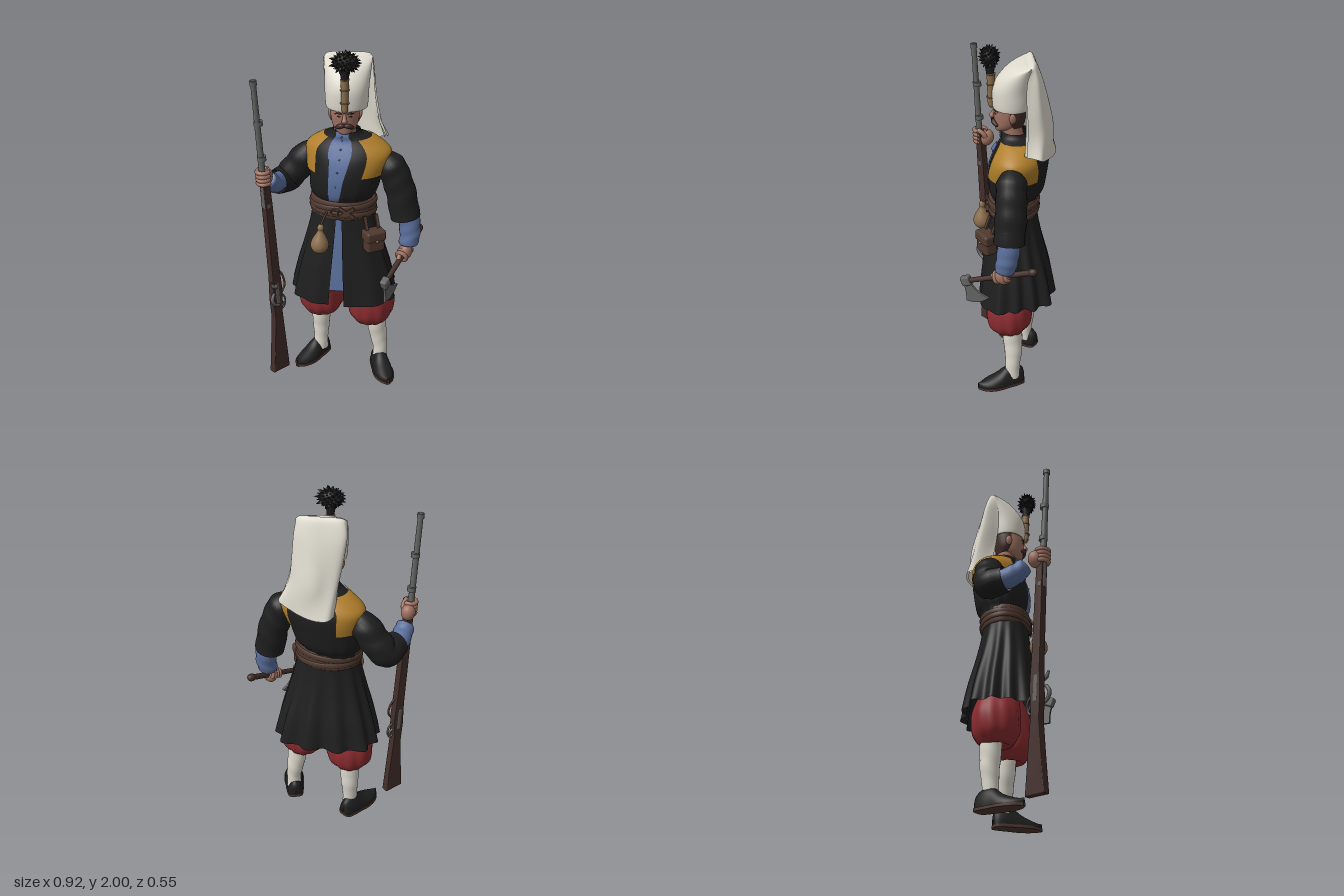
import * as THREE from 'three';
import { mergeVertices, mergeGeometries } from 'three/addons/utils/BufferGeometryUtils.js';
import { RoundedBoxGeometry } from 'three/addons/geometries/RoundedBoxGeometry.js';

const mat = (name, color) => new THREE.MeshStandardMaterial({ name, color, side: THREE.DoubleSide });
const M = {
  coat: mat('black cloth', 0x1e1e1e), white: mat('cream felt', 0xdedace), red: mat('red cloth', 0x8c2c30),
  gold: mat('ochre cloth', 0xb07f2b), blue: mat('blue cloth', 0x5b6f9c), skin: mat('skin', 0x9f7261),
  leather: mat('leather', 0x503930), metal: mat('steel', 0x636362), tan: mat('tan', 0x8a6e4c), wood: mat('dark wood', 0x432e29),
};
const V = (x, y, z) => new THREE.Vector3(x, y, z);
const { PI, sin, cos } = Math;

function add(parent, name, geo, m, p = [0, 0, 0], r = [0, 0, 0], s = [1, 1, 1]) {
  const mesh = new THREE.Mesh(geo, m);
  mesh.name = name;
  mesh.position.set(...p); mesh.rotation.set(...r); mesh.scale.set(...s);
  parent.add(mesh);
}
// Smooth blend through rows of numbers, v in 0..1
function mix(rows, v) {
  const n = rows.length - 1, s = v * n, i = Math.min(Math.floor(s), n - 1), t = s - i;
  const R = k => rows[Math.max(0, Math.min(n, k))];
  return rows[i].map((_, j) => {
    const a = R(i - 1)[j], b = R(i)[j], c = R(i + 1)[j], d = R(i + 2)[j];
    return b + 0.5 * t * (c - a + t * (2 * a - 5 * b + 4 * c - d + t * (3 * (b - c) + d - a)));
  });
}
// Grid surface from f(u, v) -> [x, y, z]
function surf(f, nu, nv) {
  const pos = [], idx = [], w = nu + 1;
  for (let j = 0; j <= nv; j++) for (let i = 0; i <= nu; i++) pos.push(...f(i / nu, j / nv));
  for (let j = 0; j < nv; j++) for (let i = 0; i < nu; i++) {
    const a = j * w + i;
    idx.push(a, a + w, a + 1, a + 1, a + w, a + w + 1);
  }
  let g = new THREE.BufferGeometry();
  g.setAttribute('position', new THREE.Float32BufferAttribute(pos, 3));
  g.setIndex(idx);
  g = mergeVertices(g, 1e-5);
  g.computeVertexNormals();
  return g;
}
// Upright loft through rows [y, cx, cz, rx, rz]; angle span and hem drop may vary
function loft(rows, { a = () => [0, 2 * PI], v0 = 0, v1 = 1, grow = 0, fold = () => 0, drop = () => 0, nu = 48, nv = 28 } = {}) {
  return surf((u, w) => {
    const v = v0 + (v1 - v0) * w, [y, cx, cz, rx, rz] = mix(rows, v), [s, e] = a(v);
    const t = s + (e - s) * u, k = 1 + fold(t, v);
    return [cx + (rx * k + grow) * cos(t), y - drop(t, v), cz + (rz * k + grow) * sin(t)];
  }, nu, nv);
}
// Round limb through [x, y, z, radius]
function limb(pts, wrinkle = 0, nv = 24, nu = 20) {
  const c = new THREE.CatmullRomCurve3(pts.map(p => V(p[0], p[1], p[2])));
  const fr = c.computeFrenetFrames(nv);
  return surf((u, v) => {
    const t = 2 * PI * u, k = Math.round(v * nv);
    const r = Math.max(mix(pts, v)[3], 0.0005) * (1 + wrinkle * sin(v * 26 + 2 * sin(t)));
    return c.getPoint(v).addScaledVector(fr.normals[k], r * cos(t)).addScaledVector(fr.binormals[k], r * sin(t)).toArray();
  }, nu, nv);
}
const ball = (r = 1) => new THREE.SphereGeometry(r, 24, 16);

function legs(g) {
  for (const [side, x, z, bx] of [['right', -0.128, -0.085, -0.137], ['left', 0.165, 0.008, 0.228]]) {
    add(g, side + 'Breeches', loft([[0.78, x * 0.6, -0.035, 0.07, 0.06], [0.64, x * 0.85, z * 0.8, 0.1, 0.1], [0.52, x, z, 0.13, 0.128],
      [0.42, x, z, 0.13, 0.126], [0.365, x, z, 0.1, 0.098], [0.345, x, z, 0.07, 0.07], [0.37, x, z, 0.04, 0.04]],
      { fold: (t, v) => 0.045 * v * sin(11 * t + 2 * sin(3 * v)) + 0.025 * sin(5 * t + 5 * v), nu: 72 }), M.red);
    const top = x + (bx - x) * 0.6, sz = side === 'left' ? -0.01 : -0.112;
    add(g, side + 'Stocking', limb([[top, 0.42, sz, 0.058], [top, 0.32, sz, 0.057], [(top + bx) / 2, 0.22, sz - 0.005, 0.051],
      [bx, 0.13, sz, 0.043], [bx, 0.05, sz, 0.044]], 0.015), M.white);
  }
  const rows = [[-0.11, 0.004, 0.04], [-0.1, 0.036, 0.08], [-0.05, 0.048, 0.108], [0, 0.052, 0.1], [0.045, 0.057, 0.068],
    [0.095, 0.053, 0.046], [0.14, 0.034, 0.032], [0.172, 0.004, 0.03]];
  const edge = s => Array.from({ length: 25 }, (_, i) => { const [z, w] = mix(rows, i / 24); return new THREE.Vector2(s * (w + 0.005), z); });
  const sole = new THREE.ExtrudeGeometry(new THREE.Shape([...edge(1), ...edge(-1).reverse()]), { depth: 0.016, bevelEnabled: false });
  sole.rotateX(PI / 2).translate(0, 0.016, 0);
  for (const [side, x, z, ry] of [['right', -0.172, -0.092, -0.65], ['left', 0.235, 0.03, 0.27]]) {
    const shoe = new THREE.Group();
    shoe.name = side + 'Shoe'; shoe.position.set(x, 0, z); shoe.rotation.y = ry;
    add(shoe, 'shoeUpper', surf((u, v) => { const [d, w, h] = mix(rows, v); return [w * cos(PI * u), 0.012 + h * sin(PI * u), d]; }, 20, 24), M.coat);
    add(shoe, 'sole', sole, M.leather);
    g.add(shoe);
  }
}

function coat(g) {
  // Pleated skirt, open at the front, squarer and fuller over the left leg
  const rows = [[0.555, 0.005, -0.05, 0.305, 0.215], [0.7, 0.005, -0.045, 0.272, 0.193], [0.86, 0.005, -0.035, 0.226, 0.162],
    [1.0, 0.005, -0.03, 0.188, 0.138], [1.1, 0.005, -0.028, 0.172, 0.126]];
  const mid = PI / 2 + 0.12, gap = v => 0.15 - 0.07 * v;
  const shape = (t, v) => (1 - v) * (0.12 * Math.max(0, cos(t - 1)) ** 4 - 0.06 * cos(4 * t));
  add(g, 'coatSkirt', loft(rows, { a: v => [mid + gap(v), mid + 2 * PI - gap(v)], nu: 160,
    drop: (t, v) => 0.03 * Math.max(0, 1 - 3 * v) * Math.max(0, sin(t)),
    fold: (t, v) => shape(t, v) + (1 - v) * (0.05 - 0.03 * sin(t)) * sin(13 * t + 0.8 * sin(2 * t)) }), M.coat);
  add(g, 'robeSkirt', loft(rows, { a: () => [mid - 0.3, mid + 0.3], v0: 0.12, grow: -0.012, nu: 12, fold: shape }), M.blue);

  // Upper body, turned a little
  const t = new THREE.Group();
  t.name = 'torso'; t.position.set(0.03, 0, -0.06); t.rotation.y = -0.3;
  g.add(t);
  const body = [[1.07, -0.03, 0.028, 0.16, 0.115], [1.135, -0.028, 0.028, 0.166, 0.12], [1.19, -0.02, 0.022, 0.192, 0.146], [1.28, -0.01, 0.015, 0.207, 0.157],
    [1.37, 0, 0, 0.23, 0.152], [1.43, 0, -0.005, 0.225, 0.132], [1.485, 0, 0, 0.15, 0.1], [1.51, 0, 0.022, 0.088, 0.08], [1.535, 0, 0.026, 0.074, 0.07]];
  const fold = (a, v) => 0.025 * Math.max(0, 1 - 2.2 * v) * sin(15 * a);
  add(t, 'coatBody', loft(body, { fold, nu: 96 }), M.coat);
  for (const [n, c] of [['left', 0], ['right', PI]])
    add(t, n + 'ShoulderPatch', loft(body, { a: () => [c - 0.95, c + 0.95], v0: 0.4, v1: 0.8, grow: 0.01, nu: 24, nv: 16 }), M.gold);
  add(t, 'robeFront', loft(body, { a: v => [PI / 2 - 0.14 - 0.34 * v * v, PI / 2 + 0.17 + 0.34 * v * v], grow: 0.007, nu: 14 }), M.blue);
  for (let i = 0; i < 6; i++) {
    const [y, cx, cz, , rz] = mix(body, 0.33 + i * 0.11);
    add(t, 'robeButton', ball(0.005), M.blue, [cx, y, cz + rz + 0.008]);
  }
  // Sleeves and cuffs
  add(g, 'leftSleeve', limb([[0.21, 1.385, -0.015, 0.045], [0.255, 1.35, 0, 0.077], [0.293, 1.27, 0.005, 0.082], [0.325, 1.17, 0.01, 0.084], [0.35, 1.035, 0.02, 0.084]], 0.03), M.coat);
  add(g, 'leftCuff', limb([[0.355, 1.12, 0.02, 0.06], [0.375, 1, 0.025, 0.06], [0.38, 0.93, 0.035, 0.058], [0.37, 0.875, 0.045, 0.05], [0.366, 0.87, 0.046, 0.0]], 0.03), M.blue);
  add(g, 'rightSleeve', limb([[-0.14, 1.385, -0.115, 0.045], [-0.193, 1.345, -0.13, 0.077], [-0.258, 1.26, -0.142, 0.084], [-0.322, 1.188, -0.138, 0.082], [-0.372, 1.198, -0.055, 0.07]], 0.03), M.coat);
  add(g, 'rightCuff', limb([[-0.34, 1.185, -0.12, 0.05], [-0.38, 1.2, -0.04, 0.058], [-0.395, 1.225, 0.01, 0.054], [-0.406, 1.26, 0.045, 0.043], [-0.408, 1.265, 0.05, 0]], 0.03), M.blue);
}

function beltAndGear(g) {
  const b = new THREE.Group();
  b.name = 'belt'; b.position.set(0.004, 1.1, -0.028); b.rotation.y = -0.15;
  g.add(b);
  const band = (h, r) => loft([[-h, 0, 0, 0.165, 0.12], [-h, 0, 0, 0.181 + r, 0.136 + r], [0, 0, 0, 0.186 + r, 0.141 + r],
    [h, 0, 0, 0.181 + r, 0.136 + r], [h, 0, 0, 0.165, 0.12]], { nu: 64, nv: 16 });
  add(b, 'sash', band(0.05, 0), M.leather);
  add(b, 'upperBelt', band(0.016, 0.005), M.leather, [0, 0.02, 0], [0.02, 0, 0.06]);
  add(b, 'lowerBelt', band(0.016, 0.005), M.leather, [0, -0.02, 0], [-0.02, 0, -0.05]);
  for (const s of [-1, 1]) add(b, 'crossStrap', new THREE.BoxGeometry(0.1, 0.018, 0.01), M.leather, [0.045, 0, 0.143], [0, 0.1, s * 0.6]);
  add(b, 'buckle', new THREE.TorusGeometry(0.02, 0.005, 8, 20), M.leather, [-0.02, 0, 0.146]);
  // Powder flask
  const prof = [[0, 0], [0.03, 0.004], [0.05, 0.035], [0.046, 0.07], [0.026, 0.11], [0.015, 0.135], [0.019, 0.15], [0.012, 0.168], [0, 0.17]];
  const flask = new THREE.SplineCurve(prof.map(p => new THREE.Vector2(...p))).getPoints(30).map(p => p.set(Math.max(0, p.x), p.y));
  add(g, 'powderFlask', new THREE.LatheGeometry(flask, 24), M.tan, [-0.122, 0.868, 0.143], [0, 0, -0.06]);
  add(g, 'flaskCord', limb([[-0.118, 1.02, 0.145, 0.006], [-0.1, 1.06, 0.125, 0.006], [-0.08, 1.1, 0.108, 0.006]], 0, 8, 8), M.leather);
  // Belt pouch
  const p = new THREE.Group();
  p.name = 'pouch'; p.position.set(0.178, 0.94, 0.13); p.rotation.y = 0.5;
  add(p, 'pouchBody', new RoundedBoxGeometry(0.11, 0.12, 0.075, 3, 0.018), M.leather);
  add(p, 'pouchFlap', new RoundedBoxGeometry(0.118, 0.06, 0.086, 3, 0.014), M.leather, [0, 0.036, 0]);
  add(p, 'pouchStud', ball(0.008), M.tan, [0, 0.012, 0.043]);
  for (const s of [-1, 1]) add(p, 'pouchStrap', new THREE.BoxGeometry(0.018, 0.1, 0.012), M.leather, [s * 0.035, 0.09, -0.025], [-0.4, 0, 0]);
  g.add(p);
}

function head(g) {
  const h = new THREE.Group();
  h.name = 'head'; h.position.set(0.014, 0, 0); g.add(h);
  add(h, 'neck', limb([[0.01, 1.46, -0.035, 0.056], [0.005, 1.53, -0.02, 0.055], [0, 1.61, -0.015, 0.058]]), M.skin);
  add(h, 'face', loft([[1.532, 0, 0.035, 0.002, 0.002], [1.537, 0, 0.033, 0.03, 0.035], [1.56, 0, 0.016, 0.058, 0.058], [1.6, 0, 0, 0.073, 0.078],
    [1.65, 0, -0.006, 0.078, 0.085], [1.72, 0, -0.01, 0.078, 0.08]]), M.skin);
  add(h, 'nose', limb([[0, 1.655, 0.074, 0.008], [0, 1.63, 0.083, 0.011], [0, 1.612, 0.089, 0.015], [0, 1.604, 0.08, 0.002]]), M.skin);
  add(h, 'hair', loft([[1.56, 0, -0.03, 0.055, 0.045], [1.6, 0, -0.014, 0.077, 0.072], [1.65, 0, -0.014, 0.081, 0.08], [1.7, 0, -0.014, 0.081, 0.08]],
    { a: () => [PI - 0.15, 2 * PI + 0.15], grow: 0.003 }), M.wood);
  for (const s of [-1, 1]) {
    add(h, 'moustache', limb([[0, 1.59, 0.083, 0.009], [s * 0.022, 1.588, 0.08, 0.013], [s * 0.042, 1.576, 0.067, 0.009], [s * 0.052, 1.572, 0.06, 0.001]]), M.wood);
    add(h, 'eyebrow', limb([[s * 0.014, 1.653, 0.077, 0.003], [s * 0.03, 1.657, 0.074, 0.005], [s * 0.052, 1.651, 0.06, 0.002]]), M.wood);
    add(h, 'eye', ball(), M.wood, [s * 0.03, 1.638, 0.073], [0, s * 0.4, 0], [0.011, 0.004, 0.004]);
    add(h, 'ear', ball(), M.skin, [s * 0.08, 1.625, -0.015], [0, 0, -s * 0.15], [0.011, 0.028, 0.018]);
  }
}

function hat(g) {
  add(g, 'hat', loft([[1.685, 0.022, -0.02, 0.095, 0.09], [1.665, 0.022, -0.018, 0.108, 0.1], [1.7, 0.022, -0.018, 0.114, 0.105], [1.77, 0.022, -0.022, 0.117, 0.108],
    [1.83, 0.024, -0.042, 0.121, 0.1], [1.88, 0.026, -0.068, 0.125, 0.075], [1.905, 0.027, -0.094, 0.127, 0.043], [1.914, 0.027, -0.108, 0.122, 0.02],
    [1.914, 0.027, -0.108, 0.08, 0.002]]), M.white);
  // Cloth folded over the crown and falling down the back, as paths across at several heights
  const line = pts => new THREE.CatmullRomCurve3(pts.map(p => V(...p)));
  const cuts = [
    line([[-0.1, 1.895, -0.088], [-0.08, 1.91, -0.09], [0.027, 1.913, -0.088], [0.134, 1.91, -0.09], [0.154, 1.895, -0.088]]),
    line([[-0.104, 1.905, -0.105], [-0.085, 1.921, -0.122], [0.027, 1.924, -0.128], [0.139, 1.921, -0.122], [0.158, 1.905, -0.105]]),
    line([[-0.1, 1.84, -0.088], [-0.102, 1.84, -0.145], [0.028, 1.84, -0.165], [0.157, 1.84, -0.145], [0.163, 1.84, -0.088]]),
    line([[-0.085, 1.72, -0.085], [-0.087, 1.72, -0.165], [0.03, 1.72, -0.2], [0.165, 1.72, -0.16], [0.177, 1.72, -0.085]]),
    line([[-0.06, 1.57, -0.105], [-0.062, 1.57, -0.195], [0.03, 1.57, -0.23], [0.175, 1.57, -0.18], [0.206, 1.57, -0.085]]),
    line([[-0.06, 1.43, -0.14], [-0.045, 1.42, -0.23], [0.02, 1.41, -0.262], [0.15, 1.42, -0.2], [0.246, 1.45, -0.16], [0.24, 1.47, -0.08]])];
  const flap = k => surf((u, v) => {
    const p = mix(cuts.map(c => c.getPoint(u).toArray()), v);
    return [p[0] + (0.04 - p[0]) * k * v, p[1], p[2] + 0.007 * v * sin(u * 19) + 0.15 * k * v];
  }, 40, 40);
  add(g, 'hatFlap', flap(0), M.white);
  add(g, 'hatFlapLining', flap(0.08), M.white);
  // Plume and its holder
  add(g, 'plumeHolder', new THREE.CylinderGeometry(0.022, 0.017, 0.17, 16), M.tan, [0.016, 1.765, 0.092]);
  add(g, 'holderTip', ball(0.021), M.tan, [0.016, 1.685, 0.09], [0, 0, 0], [0.8, 1.2, 0.8]);
  for (const y of [1.72, 1.79, 1.845]) add(g, 'holderRing', new THREE.TorusGeometry(0.021, 0.004, 8, 20), M.tan, [0.016, y, 0.092], [PI / 2, 0, 0]);
  add(g, 'plumeStem', new THREE.CylinderGeometry(0.03, 0.018, 0.07, 12), M.coat, [0.016, 1.875, 0.096]);
  const spikes = [ball(0.056)];
  for (let i = 0; i < 110; i++) {
    const y = 1 - (2 * i + 1) / 110, r = Math.sqrt(1 - y * y), a = i * 2.39996;
    const c = new THREE.ConeGeometry(0.015, 0.036, 5).translate(0, 0.056 + 0.006 * sin(i * 7), 0);
    spikes.push(c.applyQuaternion(new THREE.Quaternion().setFromUnitVectors(V(0, 1, 0), V(r * cos(a), y, r * sin(a)))));
  }
  add(g, 'plume', mergeGeometries(spikes), M.coat, [0.018, 1.937, 0.1], [0, 0, 0], [1.1, 0.82, 0.78]);
}

// Fingers curled round a local y axis
function grip(p, y, r) {
  for (let i = 0; i < 4; i++) add(p, 'finger', new THREE.TorusGeometry(r, 0.0125, 8, 24, PI * 1.6), M.skin, [0, y + (i - 1.5) * 0.022, 0], [PI / 2, 0, 1.2]);
}

function musket(g) {
  const m = new THREE.Group(), a = V(-0.358, 0.028, 0.08), d = V(-0.438, 1.86, 0.16).sub(a);
  m.name = 'musket'; m.position.copy(a);
  m.quaternion.setFromUnitVectors(V(0, 1, 0), d.normalize()).multiply(new THREE.Quaternion().setFromAxisAngle(V(0, 1, 0), PI / 4));
  const s = new THREE.Shape([[-0.076, 0.008], [0.034, 0], [0.03, 0.12], [0.024, 0.3], [0.02, 0.42], [0.034, 0.55], [0.028, 0.72], [0.024, 1.1], [0.018, 1.3],
    [-0.014, 1.3], [-0.02, 0.65], [-0.03, 0.5], [-0.028, 0.38], [-0.05, 0.2]].map(p => new THREE.Vector2(...p)));
  add(m, 'stock', new THREE.ExtrudeGeometry(s, { depth: 0.026, bevelThickness: 0.009, bevelSize: 0.004, bevelSegments: 3 }).translate(0, 0, -0.013), M.wood);
  add(m, 'barrel', new THREE.CylinderGeometry(0.0145, 0.019, 0.73, 16), M.metal, [-0.006, 1.47, 0]);
  add(m, 'muzzleRing', new THREE.CylinderGeometry(0.019, 0.019, 0.025, 16), M.metal, [-0.006, 1.82, 0]);
  for (const y of [1.12, 1.4, 1.6]) add(m, 'barrelBand', new THREE.CylinderGeometry(0.024, 0.024, 0.025, 16), M.metal, [0, y, 0]);
  add(m, 'lockPlate', new RoundedBoxGeometry(0.032, 0.15, 0.048, 2, 0.01), M.metal, [0, 0.54, 0]);
  add(m, 'hammer', limb([[-0.005, 0.47, 0.03, 0.009], [-0.035, 0.49, 0.034, 0.01], [-0.05, 0.53, 0.034, 0.011], [-0.03, 0.565, 0.03, 0.009]]), M.metal);
  add(m, 'frizzen', limb([[-0.01, 0.6, 0.03, 0.012], [-0.03, 0.61, 0.03, 0.011], [-0.045, 0.64, 0.03, 0.006]]), M.metal);
  add(m, 'triggerGuard', new THREE.TorusGeometry(0.035, 0.006, 8, 24), M.metal, [0.036, 0.46, 0], [0, 0, 0], [0.8, 1.3, 1]);
  add(m, 'trigger', limb([[0.02, 0.47, 0, 0.007], [0.045, 0.45, 0, 0.006], [0.055, 0.42, 0, 0.005]]), M.metal);
  add(m, 'cord', limb([[0.02, 0.7, 0, 0.006], [0.05, 0.65, 0.01, 0.006], [0.055, 0.58, 0.02, 0.006], [0.03, 0.54, 0.02, 0.006]]), M.leather);
  grip(m, 1.29, 0.033);
  g.add(m);
  add(g, 'rightPalm', ball(), M.skin, [-0.41, 1.3, 0.1], [-0.3, 0, 0], [0.04, 0.05, 0.042]);
  add(g, 'rightThumb', limb([[-0.391, 1.3, 0.1, 0.018], [-0.381, 1.335, 0.12, 0.014], [-0.395, 1.355, 0.15, 0.012], [-0.4, 1.357, 0.158, 0.001]]), M.skin);
}

function axe(g) {
  const a = V(0.44, 0.905, -0.105), b = V(0.235, 0.73, 0.268), len = a.distanceTo(b);
  const y = b.clone().sub(a).normalize(), x = V(0, -1, 0).addScaledVector(y, y.y).normalize(), z = x.clone().cross(y);
  const k = new THREE.Group();
  k.name = 'axe'; k.position.copy(a);
  k.quaternion.setFromRotationMatrix(new THREE.Matrix4().makeBasis(x, y, z));
  add(k, 'handle', new THREE.CylinderGeometry(0.014, 0.017, len, 14), M.wood, [0, len / 2, 0]);
  add(k, 'pommel', ball(), M.wood, [0, 0.01, 0], [0, 0, 0], [0.022, 0.028, 0.022]);
  add(k, 'axeSocket', new RoundedBoxGeometry(0.055, 0.055, 0.042, 2, 0.01), M.metal, [-0.002, len - 0.025, 0]);
  const s = new THREE.Shape();
  s.moveTo(0.015, 0.022); s.quadraticCurveTo(0.06, 0.02, 0.115, 0.045);
  s.quadraticCurveTo(0.15, -0.02, 0.12, -0.095); s.quadraticCurveTo(0.08, -0.03, 0.015, -0.022);
  add(k, 'axeBlade', new THREE.ExtrudeGeometry(s, { depth: 0.006, bevelThickness: 0.005, bevelSize: 0.003, bevelSegments: 2 }), M.metal, [0, len - 0.025, -0.003]);
  grip(k, 0.2, 0.028);
  g.add(k);
  add(g, 'leftPalm', ball(), M.skin, [0.358, 0.835, 0.052], [0.3, 0, 0], [0.036, 0.052, 0.045]);
  add(g, 'leftThumb', limb([[0.345, 0.85, 0.06, 0.018], [0.325, 0.83, 0.09, 0.014], [0.318, 0.81, 0.11, 0.012], [0.317, 0.806, 0.115, 0.001]]), M.skin);
}

export function createModel() {
  const g = new THREE.Group();
  g.name = 'soldier';
  for (const build of [legs, coat, beltAndGear, head, hat, musket, axe]) build(g);
  return g;
}
